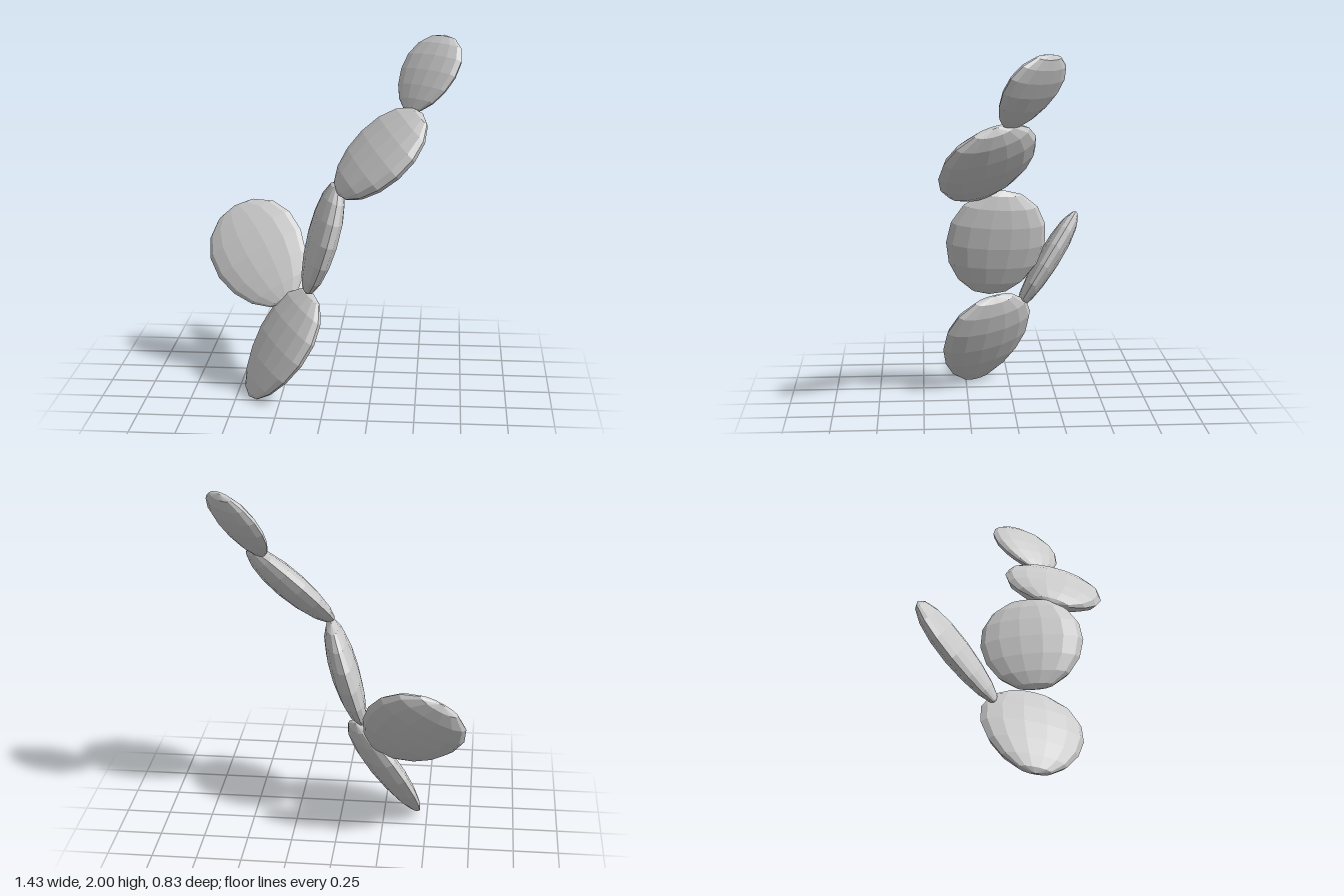
import * as THREE from 'three';

const material = new THREE.MeshStandardMaterial({ color: 0xcccccc, flatShading: true });

// Flattened egg: narrower at the base (-y), a little fuller on its underside (-z)
function padGeometry([halfWidth, halfLength, halfDepth], taper) {
  const geo = new THREE.SphereGeometry(1, 14, 8);
  const pos = geo.attributes.position;
  for (let i = 0; i < pos.count; i++) {
    const y = pos.getY(i), z = pos.getZ(i);
    const swell = 1 + taper * y;
    const bulge = z < 0 ? 1.1 : 0.92;
    pos.setXYZ(i, pos.getX(i) * halfWidth * swell, y * halfLength, z * halfDepth * swell * bulge);
  }
  const flat = geo.toNonIndexed();
  flat.computeVertexNormals();
  return flat;
}

// Pads: centre, growth axis, broad direction, half sizes (width, length, depth), taper
const PADS = [
  { name: 'basePad', at: [-0.255, 0.297, 0.14], axis: [0.35, 0.58, -0.1], broad: [0.45, -0.1, 0.87], size: [0.278, 0.345, 0.074], taper: 0.18 },
  { name: 'middlePad', at: [-0.03, 0.905, 0.09], axis: [0.17, 0.63, -0.07], broad: [0.18, 0.06, 0.98], size: [0.283, 0.325, 0.08], taper: 0.07 },
  { name: 'upperPad', at: [0.288, 1.398, 0.15], axis: [0.45, 0.43, -0.065], broad: [0.38, -0.2, 0.91], size: [0.288, 0.317, 0.08], taper: 0.06 },
  { name: 'topPad', at: [0.535, 1.803, -0.06], axis: [0.09, 0.205, -0.1], broad: [0.69, 0, 0.72], size: [0.21, 0.236, 0.055], taper: 0.17 },
  { name: 'sidePad', at: [-0.414, 0.718, -0.226], axis: [-0.5, 0.7, -0.52], broad: [0.8, 0.5, -0.13], size: [0.275, 0.34, 0.066], taper: 0.14 },
];

export function createModel() {
  const cactus = new THREE.Group();
  cactus.name = 'cactus';
  for (const { name, at, axis, broad, size, taper } of PADS) {
    const mesh = new THREE.Mesh(padGeometry(size, taper), material);
    mesh.name = name;
    // Square frame from the growth axis and the broad direction
    const up = new THREE.Vector3(...axis).normalize();
    const normal = new THREE.Vector3(...broad).cross(up).normalize();
    const side = up.clone().cross(normal);
    mesh.quaternion.setFromRotationMatrix(new THREE.Matrix4().makeBasis(side, up, normal));
    mesh.position.set(...at);
    cactus.add(mesh);
  }
  return cactus;
}
